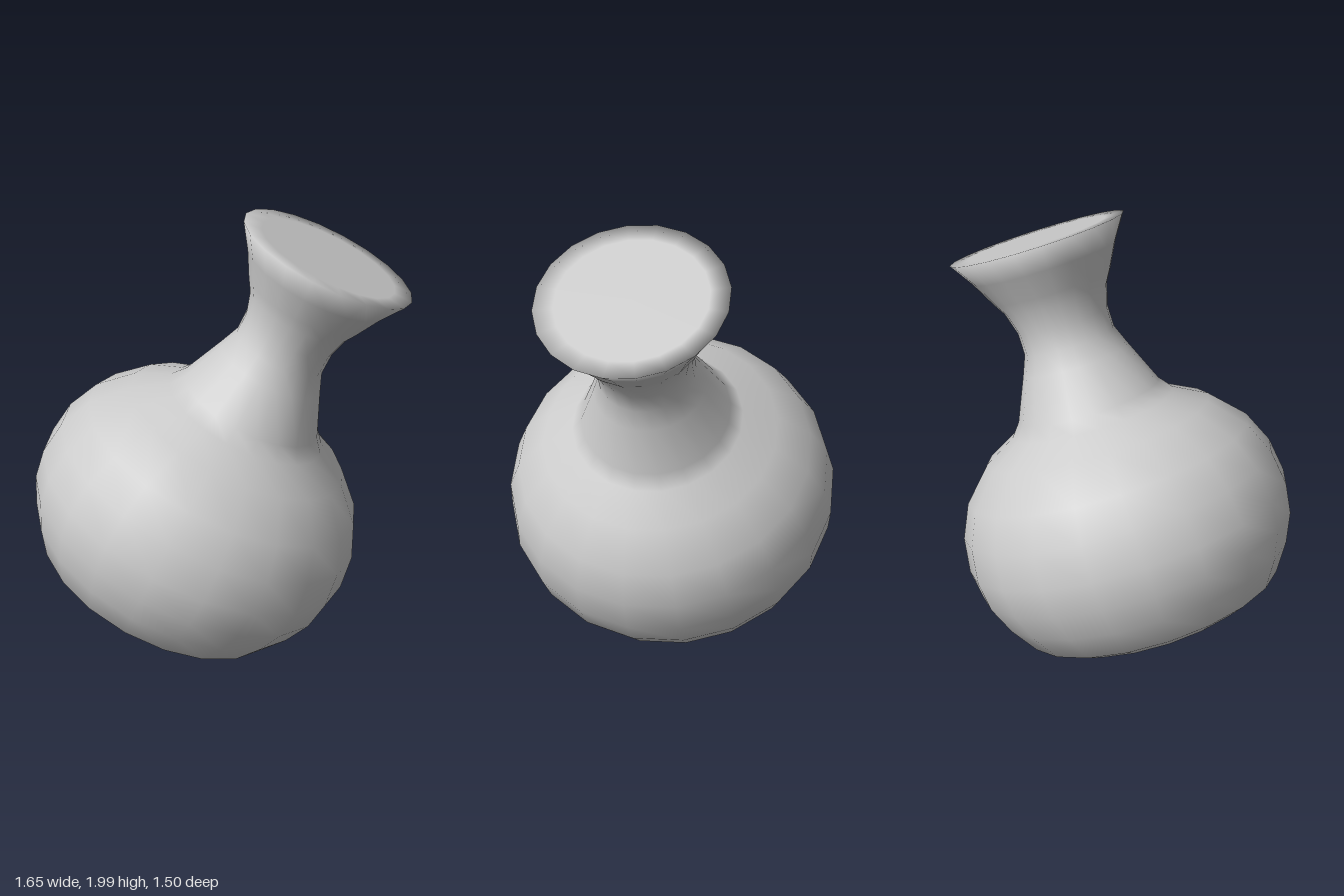
import * as THREE from 'three';

const TILT = THREE.MathUtils.degToRad(25);
const SIDES = 20;

// Profile as [radius, height along the flask's own axis], bottom to top.
const PROFILE = [
  // flat base
  [0, 0], [0.40, 0], [0.495, 0],
  // round belly
  [0.597, 0.05], [0.678, 0.177], [0.733, 0.306], [0.751, 0.441],
  [0.728, 0.597], [0.66, 0.745], [0.522, 0.889],
  // shoulder and neck
  [0.376, 0.97], [0.328, 1.03], [0.243, 1.225], [0.208, 1.312], [0.208, 1.41],
  // flared mouth
  [0.237, 1.51], [0.27, 1.565], [0.328, 1.675], [0.398, 1.783],
  // flat top with an inset ring
  [0.315, 1.783], [0, 1.783],
];

export function createModel() {
  const model = new THREE.Group();
  model.name = 'tiltedFlask';

  // Round flask turned around its axis, leaning towards +x
  const points = PROFILE.map(([r, h]) => new THREE.Vector2(r, h));
  const flask = new THREE.Mesh(
    new THREE.LatheGeometry(points, SIDES),
    new THREE.MeshStandardMaterial({ color: 0xcccccc })
  );
  flask.name = 'flask';
  flask.rotation.z = -TILT;
  flask.position.set(-0.29, 0.21, 0);
  model.add(flask);

  return model;
}
